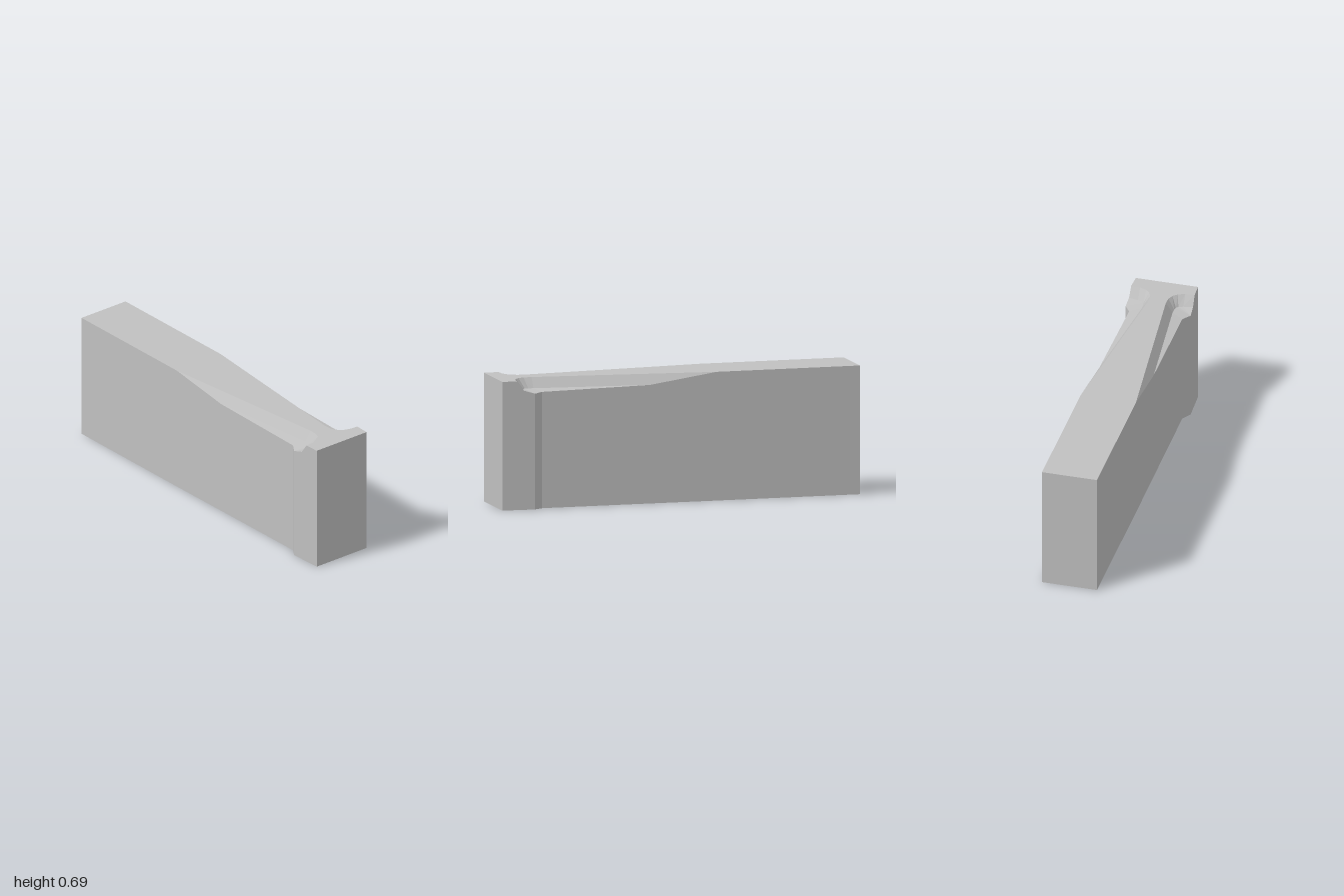
import * as THREE from 'three';

const H = 0.695; // height of the top face

// Shell surface between two matching rows of points; flip mirrors it to -x
function strip(a, b, mirror = false) {
  const pos = [];
  const tri = (p, q, r) => {
    const v = [p, q, r].map(([x, y, z]) => new THREE.Vector3(mirror ? -x : x, y, z));
    if (mirror) v.reverse();
    const area = new THREE.Vector3().crossVectors(v[1].clone().sub(v[0]), v[2].clone().sub(v[0]));
    if (area.length() < 1e-8) return; // skip collapsed corners
    v.forEach((p) => pos.push(p.x, p.y, p.z));
  };
  for (let i = 0; i < a.length - 1; i++) {
    tri(a[i], b[i], b[i + 1]);
    tri(a[i], b[i + 1], a[i + 1]);
  }
  const g = new THREE.BufferGeometry();
  g.setAttribute('position', new THREE.Float32BufferAttribute(pos, 3));
  g.computeVertexNormals();
  return g;
}

export function createModel() {
  const model = new THREE.Group();
  model.name = 'groovedBlock';
  const grey = new THREE.MeshStandardMaterial({ color: 0xc0c0c0, flatShading: true, side: THREE.DoubleSide });
  grey.name = 'plain grey';

  const add = (name, geometry) => {
    const mesh = new THREE.Mesh(geometry, grey);
    mesh.name = name;
    model.add(mesh);
  };

  // Upper rim of the groove: long taper, then a rounded turn out to the flange
  const rim = [
    [0.152, -0.2], [0.112, 0.18], [0.048, 0.8], [0.05, 0.845],
    [0.063, 0.877], [0.088, 0.9], [0.125, 0.914], [0.1755, 0.918],
  ].map(([x, z]) => [x, H, z]);

  // Inner edge of the groove floor, point for point below the rim
  const inner = [
    [0.152, H, -0.2], [0.15, 0.64, 0.17], [0.085, 0.64, 0.8], [0.086, 0.83],
    [0.09, 0.85], [0.1, 0.863], [0.125, 0.871], [0.177, 0.643, 0.88],
  ].map((p) => (p.length === 3 ? p : [p[0], 0.641, p[1]]));

  // Outer edge of the floor at the side wall and the flange
  const waist = [0.147, 0.628, 0.77];
  const flange = [0.18, 0.625, 0.82];
  const floorIn = [inner[1], inner[2], ...inner.slice(2)];
  const floorOut = floorIn.map((_, i) => (i === 0 ? inner[1] : i === 1 ? waist : flange));

  // Side walls, notched where the groove runs out, open underneath
  const back = [0.152, H, -1];
  const front = [0.172, H, 1];
  const sideTop = [back, rim[0], inner[1], waist, flange, inner[7], rim[7], front];
  const ground = (row) => row.map(([x, , z]) => [x, 0, z]);
  const flip = (row) => row.map(([x, y, z]) => [-x, y, z]);

  for (const [label, mirror] of [['left', false], ['right', true]]) {
    add(label + 'Side', strip(ground(sideTop), sideTop, mirror));
    add(label + 'GrooveWall', strip(inner, rim, mirror));
    add(label + 'GrooveFloor', strip(floorOut, floorIn, mirror));
  }

  // Top face between the two rims
  const topEdge = [back, ...rim, front];
  add('topFace', strip(topEdge, flip(topEdge)));

  // End faces
  const frontRow = [front, ...flip([front])];
  const backRow = [...flip([back]), back];
  add('frontFace', strip(ground(frontRow), frontRow));
  add('backFace', strip(ground(backRow), backRow));

  return model;
}
